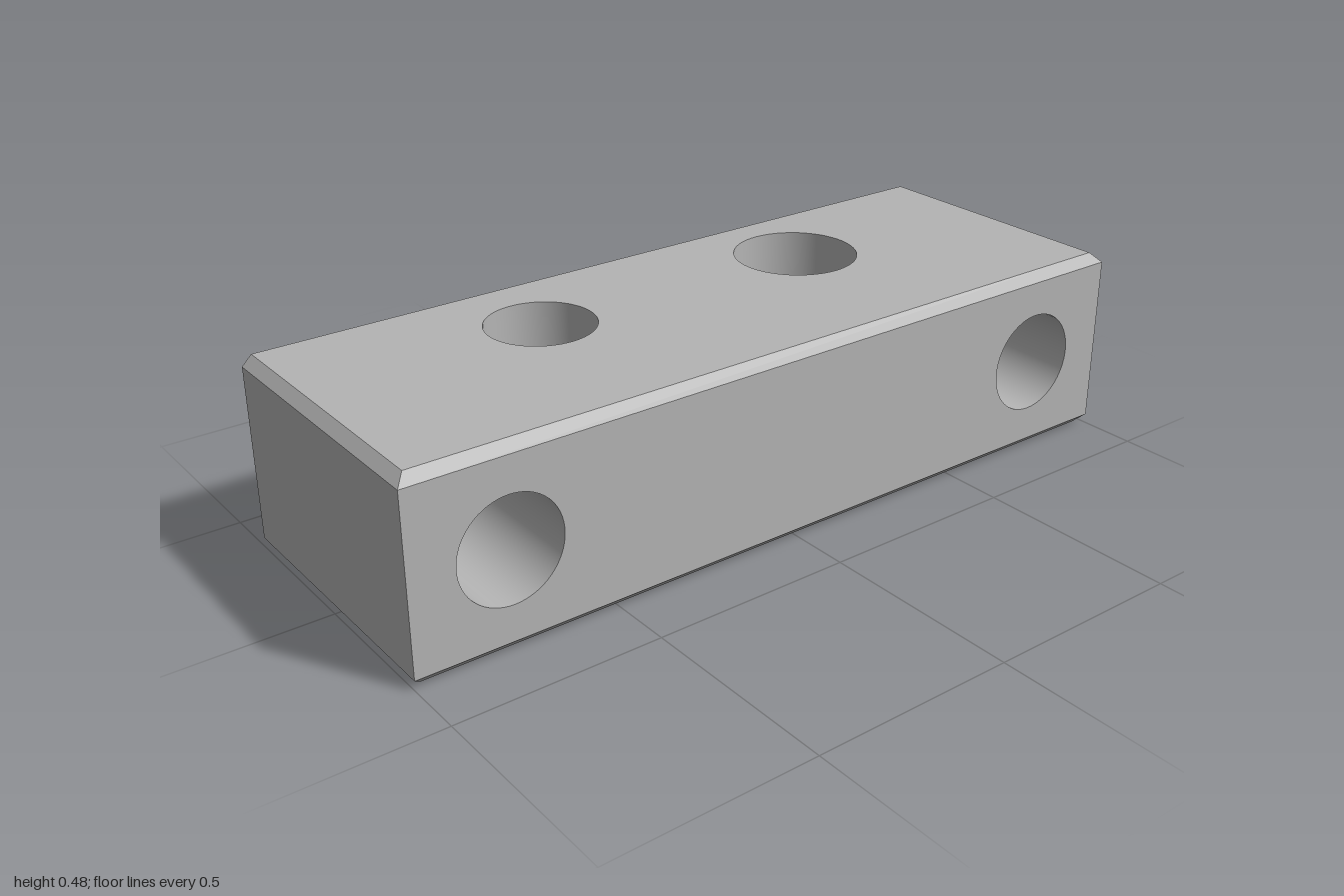
import * as THREE from 'three';

const W = 1, H = 0.477, D = 0.357, C = 0.024; // half width, height, half depth, chamfer
const SEG = 64;
const MID = H / 2;

// Vertical through bores, and horizontal bores counterbored from the back
const VERTICAL = [{ x: -0.381, r: 0.132 }, { x: 0.381, r: 0.156 }];
const BORE_Z = -0.12;
const BOLT_X = [-0.763, 0.763], BOLT_R = 0.127, SINK_R = 0.193, SINK_DEPTH = 0.25;

// Flat outline in XY, pierced by circular holes [x, y, r]
function plate(points, holes) {
  const shape = new THREE.Shape(points.map(([x, y]) => new THREE.Vector2(x, y)));
  for (const [x, y, r] of holes) {
    shape.holes.push(new THREE.Path().absarc(x, y, r, 0, Math.PI * 2, true));
  }
  return new THREE.ShapeGeometry(shape, SEG / 2);
}

const rect = (x, y0, y1) => [[-x, y0], [x, y0], [x, y1], [-x, y1]];

// End faces and the chamfers, from U-shaped sections stacked in height
function sideBands() {
  const section = (y, inset) => {
    const x = W - inset, z = D - inset;
    return [[-x, y, -D], [-x, y, z], [x, y, z], [x, y, -D]];
  };
  const levels = [section(0, C), section(C, 0), section(H - C, 0), section(H, C)];
  const pos = [];
  for (let i = 0; i < 3; i++) {
    for (let j = 0; j < 3; j++) {
      if (i === 1 && j === 1) continue; // the pierced front face is its own part
      const a = levels[i][j], b = levels[i][j + 1];
      const c = levels[i + 1][j + 1], d = levels[i + 1][j];
      pos.push(...a, ...b, ...c, ...a, ...c, ...d);
    }
  }
  const g = new THREE.BufferGeometry();
  g.setAttribute('position', new THREE.Float32BufferAttribute(pos, 3));
  g.computeVertexNormals();
  return g;
}

export function createModel() {
  const model = new THREE.Group();
  model.name = 'mountingBlock';
  const metal = new THREE.MeshStandardMaterial({ color: 0xb4b4b4, side: THREE.DoubleSide });
  metal.name = 'grey metal';
  const add = (name, geometry) => {
    const mesh = new THREE.Mesh(geometry, metal);
    mesh.name = name;
    model.add(mesh);
  };

  // Outer faces
  add('sidesAndChamfers', sideBands());
  add('topFace', plate(rect(W - C, C - D, D), VERTICAL.map(h => [h.x, -BORE_Z, h.r]))
    .rotateX(-Math.PI / 2).translate(0, H, 0));
  add('bottomFace', plate(rect(W - C, -D, D - C), VERTICAL.map(h => [h.x, BORE_Z, h.r]))
    .rotateX(Math.PI / 2));
  add('frontFace', plate(rect(W, C, H - C), BOLT_X.map(x => [x, MID, BOLT_R]))
    .translate(0, 0, D));
  const backOutline = [
    [C - W, 0], [W - C, 0], [W, C], [W, H - C],
    [W - C, H], [C - W, H], [-W, H - C], [-W, C],
  ];
  add('backFace', plate(backOutline, BOLT_X.map(x => [x, MID, SINK_R]))
    .rotateY(Math.PI).translate(0, 0, -D));

  // Vertical bores
  for (const { x, r } of VERTICAL) {
    add('verticalBore', new THREE.CylinderGeometry(r, r, H, SEG, 1, true)
      .translate(x, MID, BORE_Z));
  }

  // Bolt holes with wide counterbores and a flat step between
  const stepZ = -D + SINK_DEPTH;
  const tube = (x, r, z0, z1) => new THREE.CylinderGeometry(r, r, z1 - z0, SEG, 1, true)
    .rotateX(Math.PI / 2).translate(x, MID, (z0 + z1) / 2);
  for (const x of BOLT_X) {
    add('boltHole', tube(x, BOLT_R, stepZ, D));
    add('counterbore', tube(x, SINK_R, -D, stepZ));
    add('counterboreStep', new THREE.RingGeometry(BOLT_R, SINK_R, SEG)
      .rotateY(Math.PI).translate(x, MID, stepZ));
  }
  return model;
}
